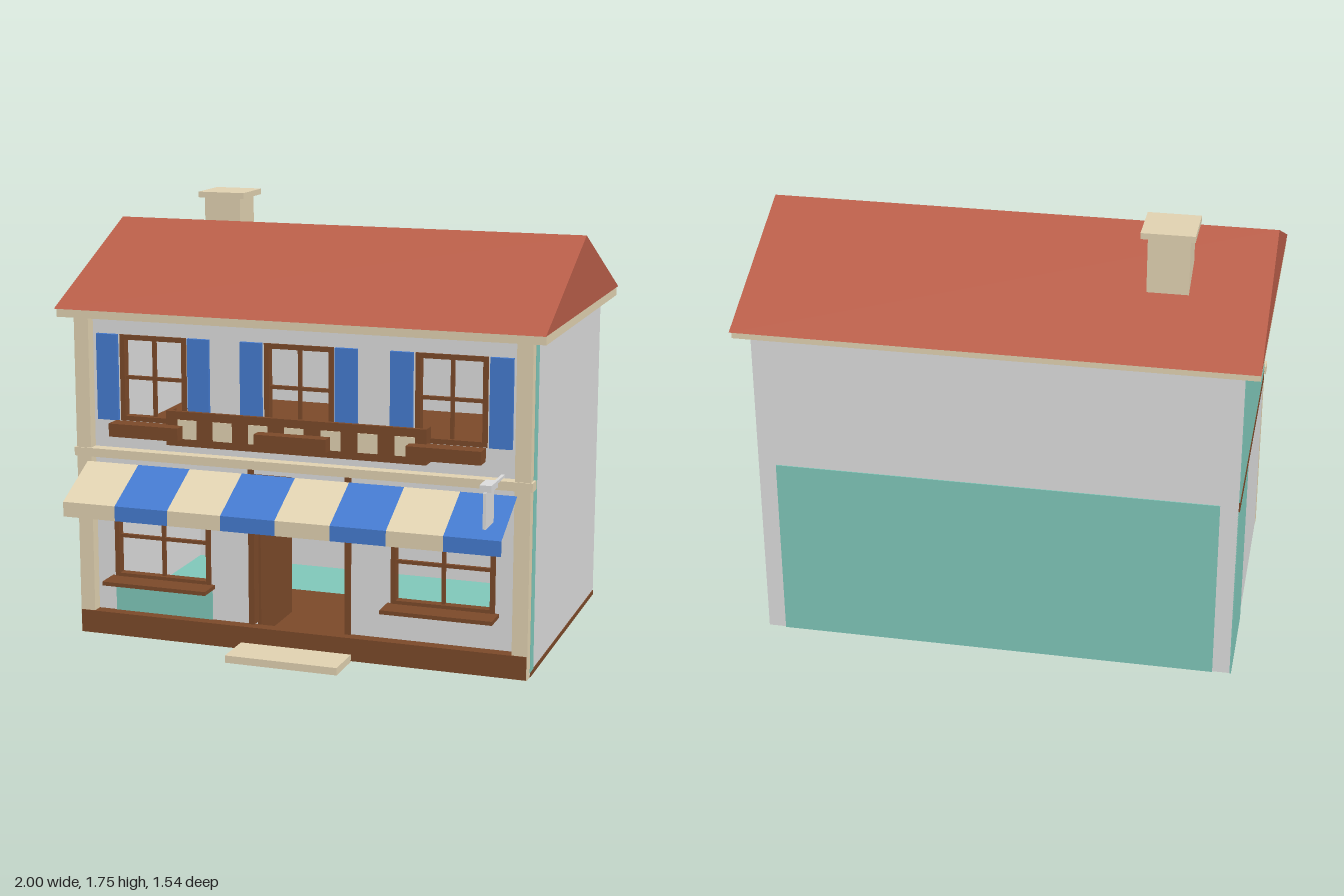
import * as THREE from 'three';

const mat = (name, color) => new THREE.MeshStandardMaterial({ name, color });

export function createModel() {
  const house = new THREE.Group();
  house.name = 'house';
  const wall = mat('pale grey', 0xdedede);
  const teal = mat('teal', 0x80c8ba);
  const cream = mat('cream', 0xe2d3b2);
  const brown = mat('brown', 0x7c4a2a);
  const blue = mat('blue', 0x457bd0);
  const tile = mat('roof red', 0xb95e49);
  const blueSheet = blue, creamSheet = cream;
  blueSheet.side = creamSheet.side = THREE.DoubleSide;

  const add = (name, geometry, material) => {
    const m = new THREE.Mesh(geometry, material);
    m.name = name;
    house.add(m);
    return m;
  };
  // box from its limits
  const box = (name, material, x0, x1, y0, y1, z0, z1) => {
    const m = add(name, new THREE.BoxGeometry(x1 - x0, y1 - y0, z1 - z0), material);
    m.position.set((x0 + x1) / 2, (y0 + y1) / 2, (z0 + z1) / 2);
    return m;
  };

  // front wall with openings
  const upper = [-0.617, 0, 0.617].map(x => [x - 0.143, x + 0.143, 0.9, 1.25]);
  const lower = [-0.59, 0.59].map(x => [x - 0.21, x + 0.21, 0.24, 0.67]);
  const door = [-0.2, 0.2, 0.03, 0.72];
  const rect = (Type, [a, b, c, d]) => new Type([
    new THREE.Vector2(a, c), new THREE.Vector2(b, c), new THREE.Vector2(b, d), new THREE.Vector2(a, d)]);
  const face = rect(THREE.Shape, [-0.94, 0.94, 0.01, 1.32]);
  face.holes = [...upper, ...lower, door].map(r => rect(THREE.Path, r));
  add('frontWall', new THREE.ExtrudeGeometry(face, { depth: 0.05, bevelEnabled: false }), wall)
    .position.z = 0.41;

  // other walls and floors
  box('rightHandWall', wall, -0.94, -0.9, 0.005, 1.32, -0.7, 0.41);
  box('leftHandWall', wall, 0.9, 0.94, 0.005, 1.32, -0.7, 0.41);
  box('backWall', wall, -0.94, 0.94, 0.005, 1.32, -0.7, -0.66);
  box('base', teal, -0.935, 0.935, 0.003, 0.018, -0.695, 0.455);
  box('groundFloor', brown, -0.88, 0.94, 0, 0.022, -0.28, 0.45);
  box('upperFloor', brown, -0.9, 0.9, 0.74, 0.78, -0.66, 0.41);
  box('floorEdge', brown, 0.936, 0.943, 0.003, 0.022, -0.69, 0.45);

  // coloured wall panels
  box('backPanel', teal, -0.87, 0.87, 0.004, 0.76, -0.704, -0.698);
  box('sidePanelUpper', teal, -0.944, -0.938, 0.78, 1.32, -0.7, 0.42);
  box('sidePanelLower', teal, -0.944, -0.938, 0.004, 0.74, -0.7, -0.3);
  box('sideFloorEdge', brown, -0.945, -0.938, 0.74, 0.78, -0.7, 0.42);
  box('frontWallEnd', teal, 0.938, 0.943, 0.022, 1.32, 0.41, 0.46);
  box('underWindowPanel', teal, -0.8, -0.375, 0.1, 0.225, 0.459, 0.464);

  // columns, plinth, band and step
  for (const s of [-1, 1])
    box('column', cream, s * 0.91 - 0.031, s * 0.91 + 0.031, 0.004, 1.32, 0.46, 0.505);
  box('plinth', brown, -0.938, 0.938, 0.006, 0.1, 0.46, 0.509);
  box('band', cream, -0.95, 0.95, 0.75, 0.785, 0.453, 0.51);
  box('doorStep', cream, -0.235, 0.23, 0.003, 0.033, 0.5, 0.68);

  // window frames with crossed bars
  const frame = ([a, b, c, d], barY) => {
    const t = 0.02, z0 = 0.43, z1 = 0.468, mid = (a + b) / 2;
    box('windowFrame', brown, a, a + t, c, d, z0, z1);
    box('windowFrame', brown, b - t, b, c, d, z0, z1);
    box('windowFrame', brown, a + t, b - t, d - t, d, z0, z1);
    box('windowFrame', brown, a + t, b - t, c, c + t, z0, z1);
    box('windowBar', brown, mid - 0.007, mid + 0.007, c + t, d - t, 0.44, 0.455);
    box('windowBar', brown, a + t, b - t, barY - 0.007, barY + 0.007, 0.44, 0.455);
  };
  upper.forEach(r => {
    frame(r, 1.075);
    const x = (r[0] + r[1]) / 2;
    for (const s of [-1, 1])
      box('shutter', blue, x + s * 0.197 - 0.045, x + s * 0.197 + 0.045, 0.9, 1.25, 0.46, 0.476);
    box('flowerBox', brown, x - 0.148, x + 0.148, 0.855, 0.908, 0.505, 0.575);
  });
  lower.forEach(r => {
    frame(r, 0.415);
    box('windowSill', brown, r[0] - 0.015, r[1] + 0.015, 0.23, 0.246, 0.46, 0.565);
  });

  // open door and its posts
  for (const s of [-1, 1])
    box('doorPost', brown, s * 0.203 - 0.012, s * 0.203 + 0.012, 0.1, 0.74, 0.42, 0.47);
  box('openDoor', brown, -0.2, -0.185, 0.03, 0.72, 0.05, 0.41);

  // balcony front with light squares
  box('balconyFront', brown, -0.54, 0.535, 0.825, 0.965, 0.503, 0.52);
  for (const x of [-0.53, 0.525])
    box('balconyEnd', brown, x - 0.01, x + 0.01, 0.825, 0.965, 0.46, 0.503);
  for (let i = -3; i <= 3; i++)
    box('balconySquare', cream, i * 0.15 - 0.04, i * 0.15 + 0.04, 0.855, 0.932, 0.518, 0.523);

  // striped awning: slope and hanging edge for each stripe
  const profile = [[0.73, 0.505], [0.615, 0.735], [0.555, 0.735]];
  const w = 1.785 / 8;
  for (let i = 0; i < 8; i++) {
    const x0 = -0.895 + i * w, pos = [];
    for (let k = 0; k < 2; k++) {
      const [ya, za] = profile[k], [yb, zb] = profile[k + 1];
      pos.push(x0, ya, za, x0, yb, zb, x0 + w, yb, zb, x0, ya, za, x0 + w, yb, zb, x0 + w, ya, za);
    }
    const g = new THREE.BufferGeometry();
    g.setAttribute('position', new THREE.Float32BufferAttribute(pos, 3));
    g.computeVertexNormals();
    add('awningStripe', g, i % 2 ? blueSheet : creamSheet);
  }

  // hanging sign
  box('signArm', wall, 0.828, 0.84, 0.8, 0.811, 0.505, 0.67);
  box('signCap', wall, 0.81, 0.856, 0.802, 0.828, 0.67, 0.762);
  box('signBoard', wall, 0.828, 0.84, 0.665, 0.802, 0.66, 0.775);

  // eaves, gabled roof and chimney
  box('eaves', cream, -0.998, 0.998, 1.32, 1.355, -0.745, 0.542);
  const gable = new THREE.Shape([
    new THREE.Vector2(-0.56, 1.355), new THREE.Vector2(0.77, 1.355), new THREE.Vector2(0.105, 1.65)]);
  const roof = add('roof', new THREE.ExtrudeGeometry(gable, { depth: 2, bevelEnabled: false }), tile);
  roof.rotation.y = Math.PI / 2;
  roof.position.x = -1;
  box('chimney', cream, -0.695, -0.535, 1.42, 1.728, -0.44, -0.28);
  box('chimneyCap', cream, -0.715, -0.51, 1.726, 1.75, -0.466, -0.258);

  return house;
}
